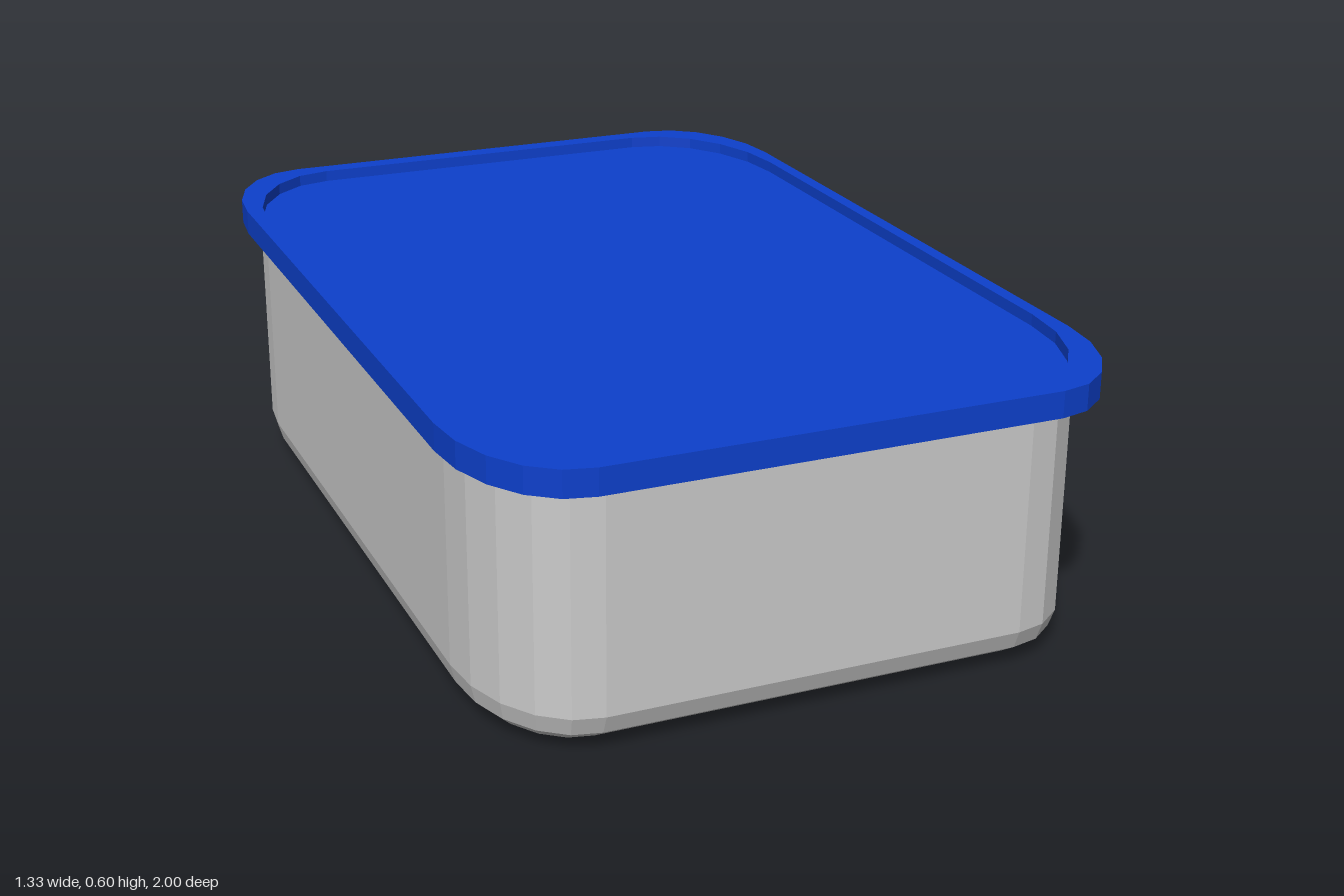
import * as THREE from 'three';

const STRETCH = 1.5; // the whole plan is stretched along z
const STEPS = 5;     // facets per rounded corner

// Rounded-rectangle ring at height y, counter-clockwise seen from above
function ring({ y, half, radius }) {
  const points = [];
  const c = half - radius;
  [[1, -1], [-1, -1], [-1, 1], [1, 1]].forEach(([sx, sz], corner) => {
    for (let i = 0; i <= STEPS; i++) {
      const a = (corner + i / STEPS) * Math.PI / 2;
      const x = sx * c[0] + radius * Math.cos(a);
      const z = sz * c[1] - radius * Math.sin(a);
      points.push(new THREE.Vector3(x, y, z * STRETCH));
    }
  });
  return points;
}

// Skin a list of rings, with optional flat caps at either end
function loft(profile, capStart, capEnd) {
  const rings = profile.map(({ y, half, radius }) => {
    const points = [];
    const c = half - radius;
    [[1, -1], [-1, -1], [-1, 1], [1, 1]].forEach(([sx, sz], corner) => {
      for (let i = 0; i <= STEPS; i++) {
        const a = (corner + i / STEPS) * Math.PI / 2;
        points.push([sx * c + radius * Math.cos(a), y, (sz * c - radius * Math.sin(a)) * STRETCH]);
      }
    });
    return points;
  });
  const pos = [];
  const tri = (...corners) => corners.forEach((p) => pos.push(...p));
  const n = rings[0].length;
  const first = rings[0], last = rings[rings.length - 1];
  for (let i = 0; i < n; i++) {
    const j = (i + 1) % n;
    for (let k = 0; k < rings.length - 1; k++) {
      const lo = rings[k], hi = rings[k + 1];
      tri(lo[i], lo[j], hi[j]);
      tri(lo[i], hi[j], hi[i]);
    }
    if (capStart) tri([0, first[0][1], 0], first[j], first[i]);
    if (capEnd) tri([0, last[0][1], 0], last[i], last[j]);
  }
  const geometry = new THREE.BufferGeometry();
  geometry.setAttribute('position', new THREE.Float32BufferAttribute(pos, 3));
  geometry.computeVertexNormals();
  return geometry;
}

export function createModel() {
  const group = new THREE.Group();
  group.name = 'foodContainer';
  const add = (name, geometry, color) => {
    const mesh = new THREE.Mesh(geometry, new THREE.MeshStandardMaterial({
      color, flatShading: true, side: THREE.DoubleSide,
    }));
    mesh.name = name;
    group.add(mesh);
  };

  // Tub: rounded bottom edge, then straight walls up to the lid
  const bevel = 0.08;
  const tub = [];
  for (let i = 0; i <= 3; i++) {
    const a = i * Math.PI / 6;
    const inset = bevel * (1 - Math.sin(a));
    tub.push({ y: bevel * (1 - Math.cos(a)), half: 0.635 - inset, radius: 0.2 - inset });
  }
  tub.push({ y: 0.545, half: 0.635, radius: 0.2 });
  add('tub', loft(tub, true, false), 0xcccccc);

  // Lid: overhanging edge, raised rim and sunken top panel
  add('lid', loft([
    { y: 0.545, half: 0.6667, radius: 0.2 },
    { y: 0.6, half: 0.6667, radius: 0.2 },
    { y: 0.6, half: 0.637, radius: 0.23 },
    { y: 0.575, half: 0.637, radius: 0.23 },
  ], true, true), 0x0d40cc);

  return group;
}
